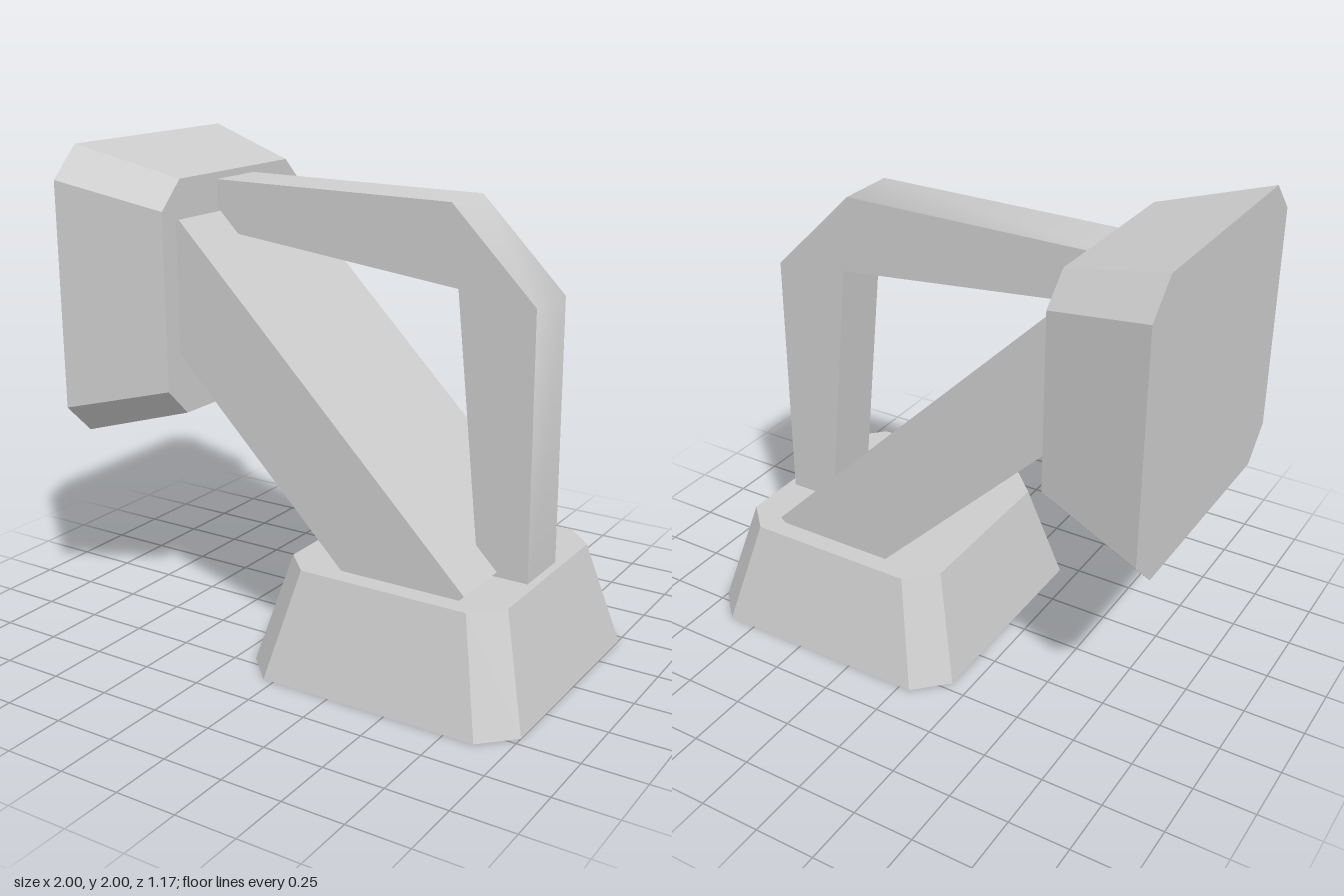
import * as THREE from 'three';
import { toCreasedNormals } from 'three/addons/utils/BufferGeometryUtils.js';

const material = new THREE.MeshStandardMaterial({ color: 0xcccccc });

function part(name, geometry) {
  const mesh = new THREE.Mesh(geometry, material);
  mesh.name = name;
  return mesh;
}

function shapeOf(points) {
  return new THREE.Shape(points.map(([x, y]) => new THREE.Vector2(x, y)));
}

// Square block with cut corners, tapering upward from y = 0 to y = height
function taperedBlock(height) {
  const w = 0.587, f = 0.46;
  const outline = shapeOf([[-f, -w], [f, -w], [w, -f], [w, f], [f, w], [-f, w], [-w, f], [-w, -f]]);
  const geometry = new THREE.ExtrudeGeometry(outline, { depth: height, bevelEnabled: false });
  const p = geometry.attributes.position;
  const narrow = (v) => Math.sign(v) * (Math.abs(v) > 0.5 ? 0.47 : 0.357);
  for (let i = 0; i < p.count; i++) {
    if (p.getZ(i) > height / 2) p.setXY(i, narrow(p.getX(i)), narrow(p.getY(i)));
  }
  geometry.rotateX(-Math.PI / 2);
  geometry.computeVertexNormals();
  return geometry;
}

export function createModel() {
  const model = new THREE.Group();

  // Foot
  const base = part('base', taperedBlock(0.44));
  base.position.x = 0.413;
  model.add(base);

  // Same block turned on its side, wide end facing -x
  const head = part('head', taperedBlock(0.435));
  head.rotation.z = -Math.PI / 2;
  head.position.set(-1, 1.413, 0);
  model.add(head);

  // Wide diagonal arm, both ends sunk into the blocks
  const arm = part('diagonalArm', new THREE.BoxGeometry(1.796, 0.39, 0.78));
  arm.rotation.z = -Math.PI / 4;
  arm.position.set(-0.053, 0.957, 0);
  model.add(arm);

  // Narrow bent handle, soft shading around the outer bend
  const handleShape = shapeOf([
    [-0.7, 1.855], [-0.7, 1.67], [0.53, 1.535], [0.65, 0.34],
    [0.85, 0.34], [0.845, 1.5], [0.495, 1.85],
  ]);
  const handleGeometry = new THREE.ExtrudeGeometry(handleShape, { depth: 0.25, bevelEnabled: false });
  handleGeometry.translate(0, 0, -0.125);
  model.add(part('handle', toCreasedNormals(handleGeometry, Math.PI / 3.5)));

  return model;
}
